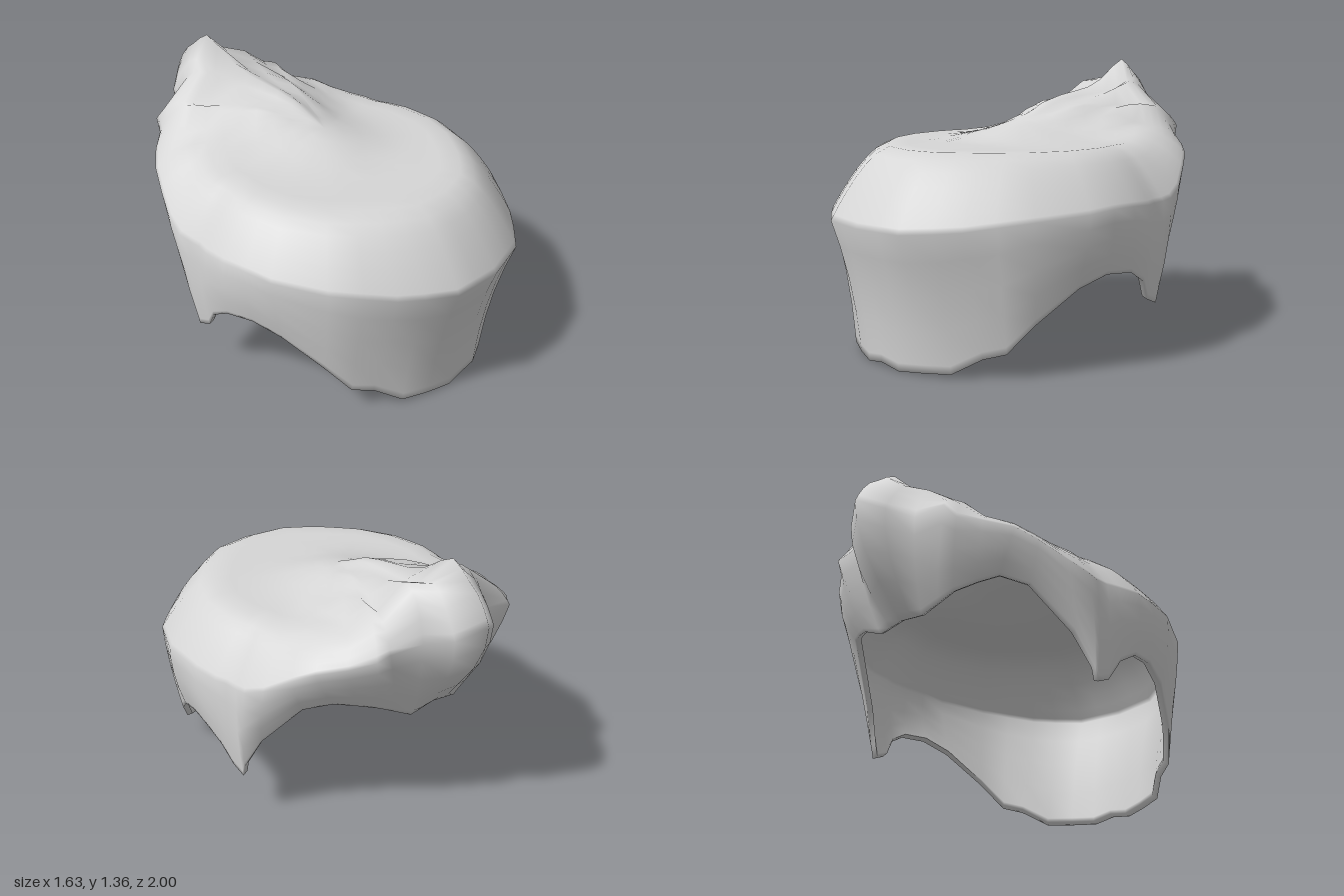
import * as THREE from 'three';
import { mergeVertices } from 'three/addons/utils/BufferGeometryUtils.js';

const { lerp, smoothstep, mapLinear } = THREE.MathUtils;

// Left half of the hair, front to back: hem point, then widest (rim) point
const columns = [
  [0, 0.02, 0.87, 0, 0.66, 1.0],
  [0.11, 0.0, 0.86, 0.13, 0.66, 0.98],
  [0.23, 0.01, 0.82, 0.25, 0.66, 0.96],
  [0.36, 0.02, 0.76, 0.38, 0.67, 0.87],
  [0.46, 0.09, 0.66, 0.48, 0.68, 0.79],
  [0.55, 0.12, 0.6, 0.58, 0.7, 0.68],
  [0.63, 0.25, 0.5, 0.68, 0.72, 0.56],
  [0.72, 0.4, 0.32, 0.785, 0.74, 0.32],
  [0.76, 0.45, 0.18, 0.8, 0.75, 0.18],
  [0.78, 0.44, 0.04, 0.81, 0.75, 0.06],
  [0.77, 0.38, -0.06, 0.79, 0.74, -0.07],
  [0.745, 0.28, -0.12, 0.77, 0.74, -0.13],
  [0.74, 0.25, -0.19, 0.765, 0.74, -0.2],
  [0.74, 0.31, -0.205, 0.765, 0.75, -0.26],
  [0.69, 0.47, -0.28, 0.73, 0.79, -0.36],
  [0.58, 0.68, -0.45, 0.66, 0.87, -0.48],
  [0.49, 0.72, -0.55, 0.6, 0.92, -0.57],
  [0.4, 0.7, -0.6, 0.5, 0.95, -0.67],
  [0.3, 0.67, -0.65, 0.4, 0.98, -0.74],
  [0.22, 0.63, -0.67, 0.37, 1.03, -0.79],
  [0.14, 0.59, -0.69, 0.2, 1.03, -0.81],
  [0.07, 0.6, -0.69, 0.12, 1.06, -0.92],
  [0, 0.61, -0.69, 0, 1.12, -1.0],
];

// Height of the crown along the centre line, as [z, y]
const crown = [[-1, 1.31], [-0.86, 1.31], [-0.78, 1.36], [-0.55, 1.22], [-0.23, 1.17], [-0.04, 1.09], [0.3, 0.995], [1, 0.98]];

function crownHeight(z) {
  let i = 0;
  while (i < crown.length - 2 && z > crown[i + 1][0]) i++;
  const [z0, y0] = crown[i], [z1, y1] = crown[i + 1];
  return mapLinear(z, z0, z1, y0, y1);
}

// Raised ridge down the middle that widens backwards, with fine combed strands
function topHeight(x, z) {
  const width = lerp(0.24, 0.45, smoothstep(-z, 0.1, 0.6));
  const ridge = Math.exp(-((x / width) ** 2));
  const strands = 0.012 * Math.cos(x * 40) * ridge * smoothstep(-z, 0, 0.2);
  return 0.99 + (crownHeight(z) - 0.99) * ridge + strands;
}

const wallSteps = [0, 0.06, 0.3, 0.55, 0.8, 1];
const topSteps = [0.985, 0.96, 0.92, 0.87, 0.82, 0.77, 0.7, 0.6, 0.5, 0.4, 0.3, 0.2, 0.1, 0];

// One strip of the outside, from the hem up over the rim to the crown centre
function outerStrip([hx, hy, hz, rx, ry, rz], index) {
  const front = smoothstep(rz, 0.4, 1);
  const back = smoothstep(-rz, 0.3, 0.8);
  const tail = smoothstep(-rz, 0.75, 1);
  const strip = wallSteps.map((s) => {
    const bulge = 1 + (0.02 + 0.06 * tail - 0.045 * front) * 4 * s * (1 - s);
    return new THREE.Vector3(lerp(hx, rx, s) * bulge, lerp(hy, ry, s), lerp(hz, rz, s) * bulge);
  });
  for (const t of topSteps) {
    const x = rx * t, z = rz * t;
    // Rounded shoulder at the front and sides, squarer lip at the back
    const shoulder = Math.max(0, (t - 0.7) / 0.3) ** 1.6;
    const fall = lerp(shoulder, t ** 12, back);
    // Jagged tufts along the back edge
    const tuft = index > 16 && t > 0.65 ? (index % 2 ? -0.03 : 0.01) : 0;
    strip.push(new THREE.Vector3(x, lerp(topHeight(x, z) + tuft, ry, fall), z));
  }
  return strip;
}

// Full strip: inside from centre down to the hem, then outside back to the centre
function fullStrip(column, index) {
  const outer = outerStrip(column, index);
  const inner = outer.map((p, i) => {
    const drop = 0.03 * Math.min(i / wallSteps.length, 1);
    return new THREE.Vector3(p.x * 0.962, p.y - drop + (i === 0 ? 0.012 : 0), p.z * 0.968);
  });
  return [...inner.reverse(), ...outer];
}

function shellGeometry() {
  const half = columns.map(fullStrip);
  const mirrored = half.slice(1, -1).reverse()
    .map((strip) => strip.map((p) => new THREE.Vector3(-p.x, p.y, p.z)));
  const strips = [...half, ...mirrored];
  const rows = strips[0].length;
  const positions = [], indices = [];
  strips.forEach((strip, c) => {
    const next = (c + 1) % strips.length;
    strip.forEach((p, r) => {
      positions.push(p.x, p.y, p.z);
      if (r === rows - 1) return;
      const a = c * rows + r, b = next * rows + r;
      // The first and last rows are fans around the inner and outer centres
      if (r > 0) indices.push(a, b, a + 1);
      if (r < rows - 2) indices.push(b, b + 1, a + 1);
    });
  });
  const geometry = new THREE.BufferGeometry();
  geometry.setAttribute('position', new THREE.Float32BufferAttribute(positions, 3));
  geometry.setIndex(indices);
  const merged = mergeVertices(geometry, 1e-4);
  merged.computeVertexNormals();
  return merged;
}

export function createModel() {
  const group = new THREE.Group();
  group.name = 'hairpiece';
  const hair = new THREE.MeshStandardMaterial({ color: 0xd6d6d6 });
  hair.name = 'light grey';
  const shell = new THREE.Mesh(shellGeometry(), hair);
  shell.name = 'hairShell';
  group.add(shell);
  return group;
}
